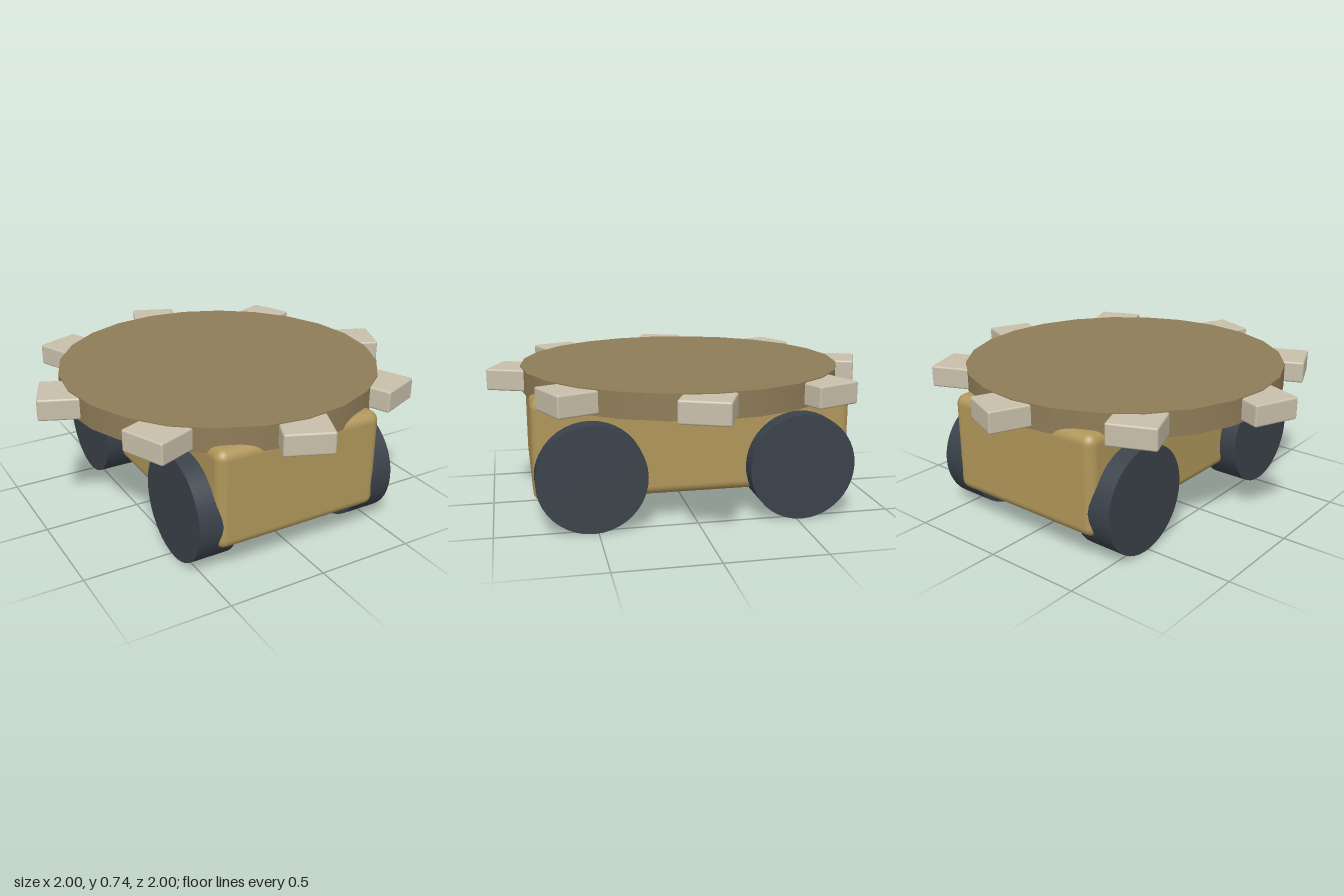
import * as THREE from 'three';
import { RoundedBoxGeometry } from 'three/addons/geometries/RoundedBoxGeometry.js';

const paint = (name, color) => {
  const m = new THREE.MeshStandardMaterial({ color });
  m.name = name;
  return m;
};

export function createModel() {
  const model = new THREE.Group();
  const ochre = paint('ochre body', 0xb0965a);
  const brown = paint('brown disc', 0x8f7c58);
  const cream = paint('cream teeth', 0xc8bfaa);
  const slate = paint('slate wheels', 0x3a424a);

  const add = (name, geometry, material, x, y, z, parent = model) => {
    const mesh = new THREE.Mesh(geometry, material);
    mesh.name = name;
    mesh.position.set(x, y, z);
    parent.add(mesh);
    return mesh;
  };

  // Rounded chassis block
  add('body', new RoundedBoxGeometry(0.9, 0.51, 1.6, 4, 0.05), ochre, 0, 0.395, 0);

  // Four wheels, sunk slightly into the body sides
  const wheel = new THREE.CylinderGeometry(0.27, 0.27, 0.2, 40).rotateZ(Math.PI / 2);
  for (const [side, sx] of [['left', 1], ['right', -1]]) {
    for (const [end, sz] of [['front', 1], ['back', -1]]) {
      add(`${end} ${side} wheel`, wheel, slate, sx * 0.445, 0.27, sz * 0.525);
    }
  }

  // Large turntable disc
  add('disc', new THREE.CylinderGeometry(0.83, 0.83, 0.125, 24), brown, 0, 0.6725, 0);

  // Eight skewed teeth around the rim
  const teeth = new THREE.Group();
  teeth.name = 'teeth';
  model.add(teeth);
  const tooth = new RoundedBoxGeometry(0.42, 0.11, 0.24, 2, 0.01);
  for (let i = 0; i < 8; i++) {
    const a = (i * Math.PI) / 4;
    const mesh = add(`tooth${i + 1}`, tooth, cream,
      0.763 * Math.cos(a), 0.675, 0.763 * Math.sin(a), teeth);
    mesh.rotation.y = -a - Math.PI / 8;
  }
  return model;
}
